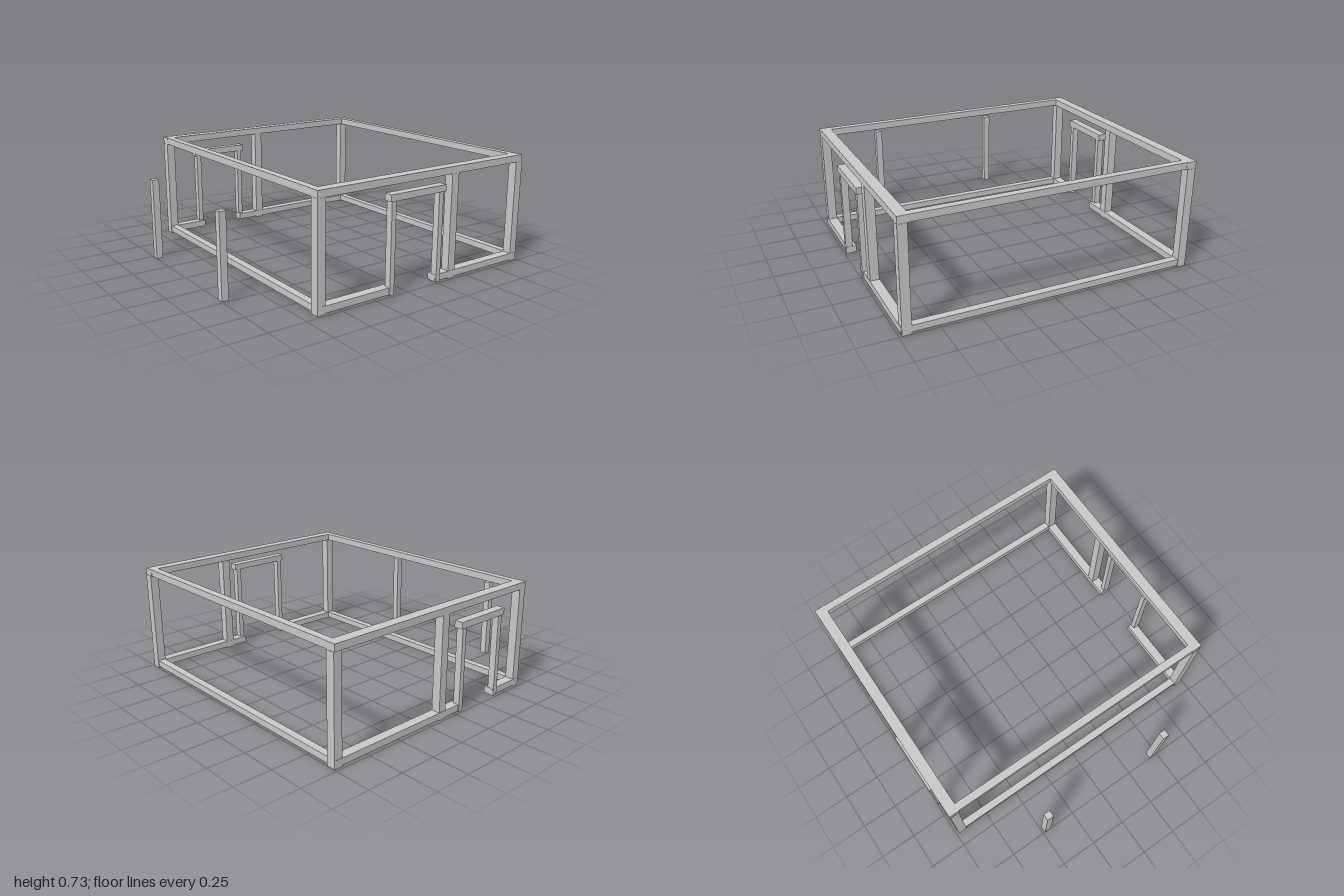
import * as THREE from 'three';

export function createModel() {
  const model = new THREE.Group();
  model.name = 'roomFrame';
  const grey = new THREE.MeshStandardMaterial({ color: 0xc8c8c8 });
  grey.name = 'lightGrey';

  // Box given by its extents along each axis
  function bar(name, [x0, x1], [y0, y1], [z0, z1], parent = model) {
    const mesh = new THREE.Mesh(new THREE.BoxGeometry(x1 - x0, y1 - y0, z1 - z0), grey);
    mesh.position.set((x0 + x1) / 2, (y0 + y1) / 2, (z0 + z1) / 2);
    mesh.name = name;
    parent.add(mesh);
  }
  // Depth range on the front (side 1) or back (side -1) wall
  const depth = (side, inner, outer) => (side > 0 ? [inner, outer] : [-outer, -inner]);

  const top = [0.686, 0.732];
  const sideSill = [0.012, 0.055];
  const wallSill = [0.008, 0.053];

  // Side walls: top beam and sill
  for (const [name, x] of [['right', [-0.662, -0.612]], ['left', [0.945, 0.995]]]) {
    bar(name + 'TopBeam', x, top, [-0.914, 0.909]);
    bar(name + 'Sill', x, sideSill, [-0.98, 0.98]);
  }

  // Front and back walls, each with a doorway and one stud
  const walls = [
    { name: 'front', side: 1, stud: 0.355, door: [-0.14, 0.275], lintel: [-0.153, 0.289], lintelY: [0.59, 0.633] },
    { name: 'back', side: -1, stud: 0.087, door: [-0.417, -0.032], lintel: [-0.43, -0.015], lintelY: [0.563, 0.608] },
  ];
  for (const { name, side, stud, door, lintel, lintelY } of walls) {
    const wall = new THREE.Group();
    wall.name = name + 'Wall';
    model.add(wall);
    const postZ = depth(side, 0.922, 0.982);
    const sillZ = depth(side, 0.92, 0.984);

    bar('topBeam', [-0.664, 0.997], top, side > 0 ? [0.909, 0.981] : [-0.986, -0.914], wall);
    for (const x of [-0.666, 0.942]) bar('cornerPost', [x, x + 0.057], [0, top[0]], postZ, wall);
    bar('stud', [stud, stud + 0.057], [0, top[0]], postZ, wall);

    // Sill interrupted by the doorway
    const [left, right] = door;
    bar('sill', [-0.638, left + 0.036], wallSill, sillZ, wall);
    bar('sill', [right - 0.036, 0.993], wallSill, sillZ, wall);

    // Door frame
    for (const x of [left, right - 0.034]) {
      bar('doorPost', [x, x + 0.034], [0.005, lintelY[0]], depth(side, 0.945, 0.992), wall);
    }
    bar('doorLintel', lintel, lintelY, depth(side, 0.94, 0.999), wall);
  }

  // Free-standing posts outside
  for (const z of [-0.463, 0.462]) {
    bar('outerPost', [-1, -0.954], [0, 0.553], [z - 0.023, z + 0.023]);
  }
  return model;
}
